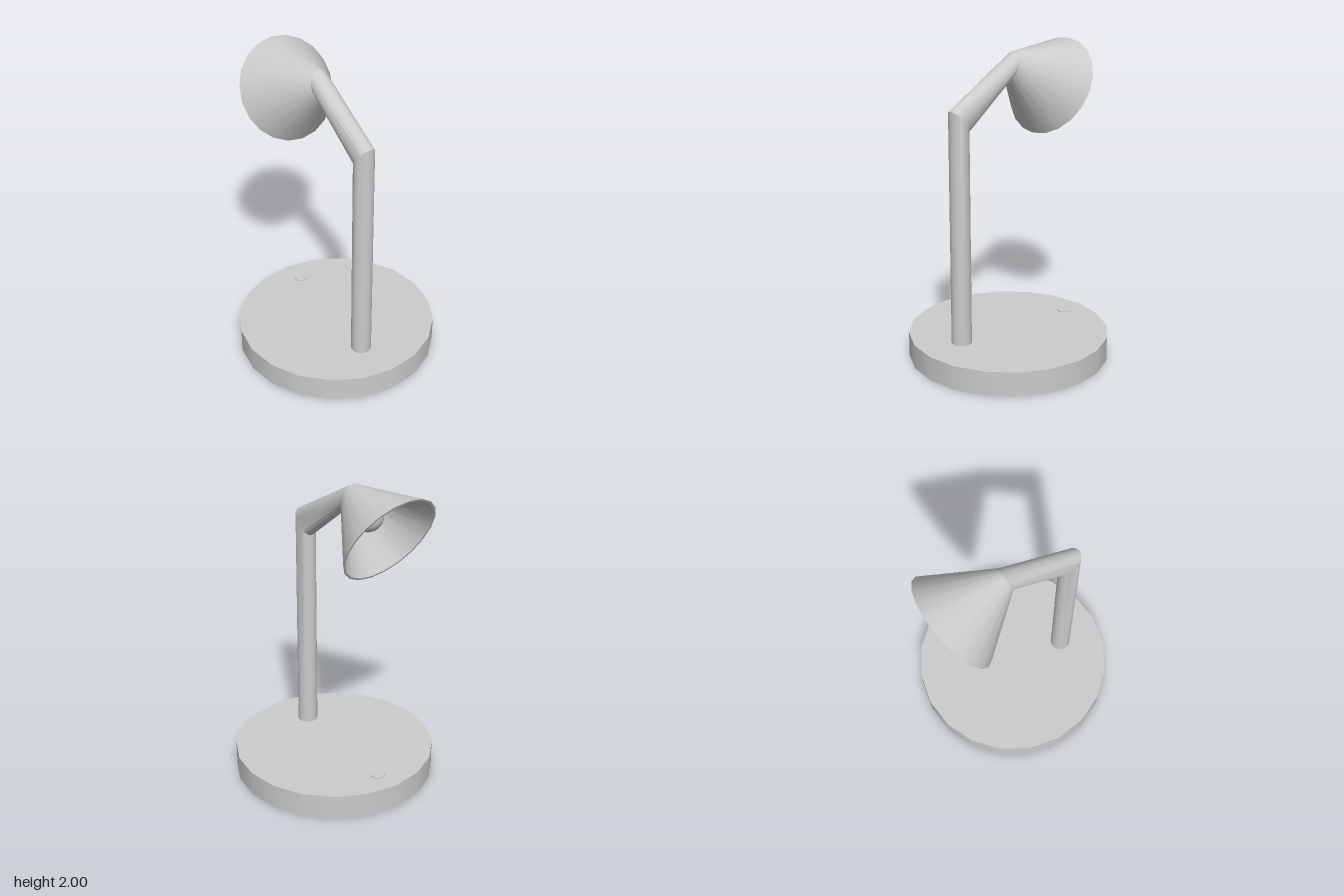
import * as THREE from 'three';
import { toCreasedNormals } from 'three/addons/utils/BufferGeometryUtils.js';

const SIDES = 20;
const V = (x, y, z) => new THREE.Vector3(x, y, z);
const OUT = V(-0.84, 0, -0.543); // horizontal direction in which the lamp leans
const SIDE = V(-0.543, 0, 0.84); // horizontal, across the lean

// Elliptical section: centre, half width, and its upper half-axis (along the lean, and up)
const section = (c, width, lean, up) => ({
  c,
  u: SIDE.clone().multiplyScalar(width),
  v: OUT.clone().multiplyScalar(lean).add(V(0, up, 0)),
});

// Skin joining consecutive sections
function loft(sections) {
  const pos = [], index = [];
  for (const { c, u, v } of sections) {
    for (let j = 0; j < SIDES; j++) {
      const t = (j / SIDES) * Math.PI * 2;
      const p = c.clone().addScaledVector(u, Math.cos(t)).addScaledVector(v, Math.sin(t));
      pos.push(p.x, p.y, p.z);
    }
  }
  for (let i = 0; i < sections.length - 1; i++) {
    for (let j = 0; j < SIDES; j++) {
      const k = (j + 1) % SIDES;
      const a = i * SIDES + j, b = i * SIDES + k;
      index.push(a, b, b + SIDES, a, b + SIDES, a + SIDES);
    }
  }
  const geo = new THREE.BufferGeometry();
  geo.setAttribute('position', new THREE.Float32BufferAttribute(pos, 3));
  geo.setIndex(index);
  return toCreasedNormals(geo, 0.5);
}

export function createModel() {
  const group = new THREE.Group();
  const material = new THREE.MeshStandardMaterial({ color: 0xcccccc });
  const add = (name, geometry, x = 0, y = 0, z = 0) => {
    const mesh = new THREE.Mesh(geometry, material);
    mesh.name = name;
    mesh.position.set(x, y, z);
    group.add(mesh);
  };

  // Round base with a small switch on top
  add('base', new THREE.CylinderGeometry(0.65, 0.65, 0.16, SIDES), 0, 0.08, 0);
  add('switchButton', new THREE.CylinderGeometry(0.045, 0.045, 0.015, SIDES), -0.385, 0.1595, -0.305);

  // Upright pole and sloping arm, mitred at the elbow and at the shade
  const joint = V(-0.096, 1.888, 0.006);
  const neck = section(joint, 0.07, 0.026, 0.083);
  add('poleAndArm', loft([
    section(V(0.267, 0.14, 0.246), 0.065, -0.065, 0),
    section(V(0.267, 1.6, 0.246), 0.064, -0.064, 0.075),
    neck,
  ]));

  // Conical shade: outer skin, lip, inner skin and closed inner end
  const mouth = V(-0.4, 1.712, -0.19);
  const axis = mouth.clone().sub(joint);
  const innerEnd = joint.clone().addScaledVector(axis, 0.1);
  add('shade', loft([
    neck,
    section(mouth, 0.33, 0.16, 0.288),
    section(mouth, 0.316, 0.153, 0.276),
    section(innerEnd, 0.075, 0.036, 0.065),
    section(innerEnd, 0, 0, 0),
  ]));

  // Bulb inside the shade
  const bulb = joint.clone().addScaledVector(axis, 0.46);
  add('bulb', new THREE.SphereGeometry(0.095, 24, 16), bulb.x, bulb.y, bulb.z);

  return group;
}
